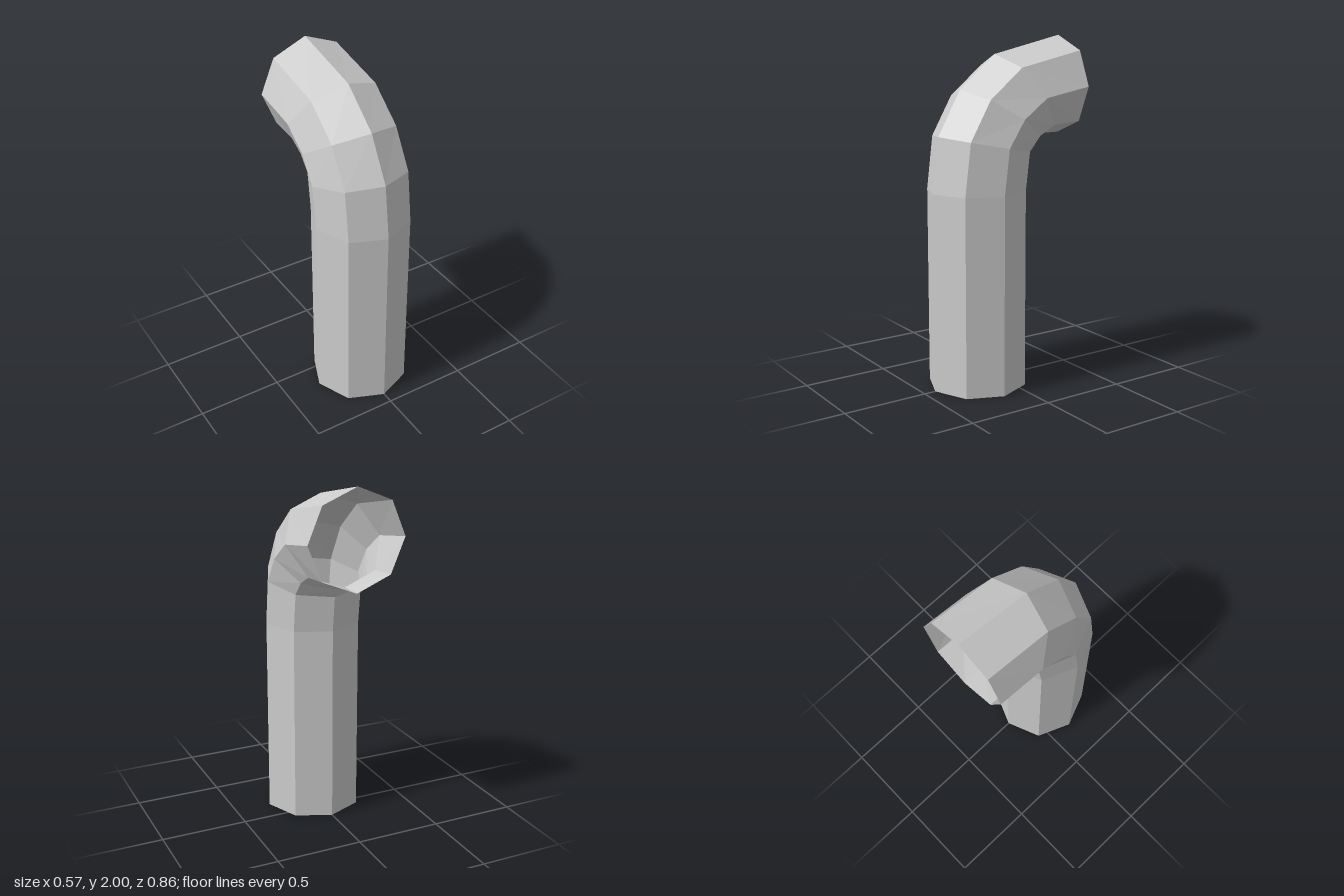
import * as THREE from 'three';

const SIDES = 8;
const HALF_WIDTH = 0.285;

// Each ring of the pipe: outer point [z, y] and inner point [z, y] of the bend
const RINGS = [
  { outer: [0.43, 0], inner: [-0.14, 0] },
  { outer: [0.43, 1.145], inner: [-0.14, 1.145] },
  { outer: [0.39, 1.46], inner: [-0.165, 1.35] },
  { outer: [0.25, 1.71], inner: [-0.225, 1.405] },
  { outer: [0.02, 1.9], inner: [-0.3, 1.435] },
  { outer: [-0.43, 2], inner: [-0.43, 1.435] },
];

// Octagonal rings spanned between the outer and inner points, joined by quads
function bentPipeGeometry() {
  const positions = [];
  const index = [];
  RINGS.forEach(({ outer, inner }, k) => {
    for (let i = 0; i < SIDES; i++) {
      const a = (i / SIDES) * Math.PI * 2;
      const t = (1 - Math.cos(a)) / 2;
      positions.push(
        HALF_WIDTH * Math.sin(a),
        THREE.MathUtils.lerp(outer[1], inner[1], t),
        THREE.MathUtils.lerp(outer[0], inner[0], t)
      );
      if (k === RINGS.length - 1) continue;
      const j = (i + 1) % SIDES;
      const p = k * SIDES + i, q = k * SIDES + j;
      index.push(p, q, q + SIDES, p, q + SIDES, p + SIDES);
    }
  });
  const geometry = new THREE.BufferGeometry();
  geometry.setAttribute('position', new THREE.Float32BufferAttribute(positions, 3));
  geometry.setIndex(index);
  geometry.computeVertexNormals();
  return geometry;
}

export function createModel() {
  const group = new THREE.Group();
  group.name = 'ventPipe';

  // Thin-walled pipe, open at the foot and at the mouth
  const pipe = new THREE.Mesh(
    bentPipeGeometry(),
    new THREE.MeshStandardMaterial({ color: 0xcccccc, flatShading: true, side: THREE.DoubleSide })
  );
  pipe.name = 'bentPipe';
  group.add(pipe);
  return group;
}
